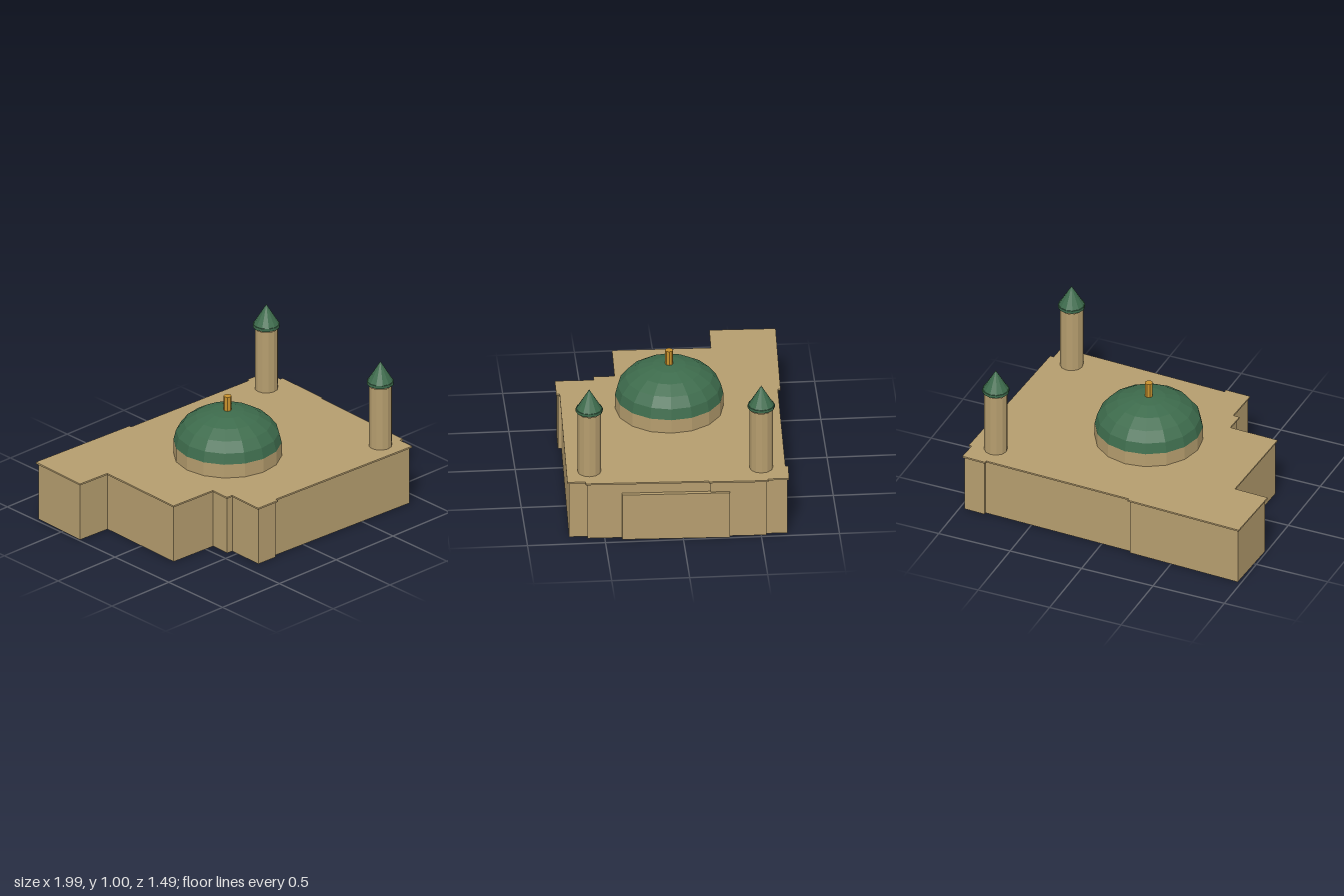
import * as THREE from 'three';

const YAW = -0.038;
const material = (color) =>
  new THREE.MeshStandardMaterial({ color, flatShading: true, side: THREE.DoubleSide });

// Move a closed [x, z] outline inward by distance t.
function inset(loop, t) {
  const normal = (a, b) => new THREE.Vector2(a[1] - b[1], b[0] - a[0]).normalize();
  return loop.map((p, i) => {
    const n1 = normal(loop.at(i - 1), p);
    const n2 = normal(p, loop[(i + 1) % loop.length]);
    const k = t / (1 + n1.dot(n2));
    return [p[0] + (n1.x + n2.x) * k, p[1] + (n1.y + n2.y) * k];
  });
}

// Vertical walls around a closed outline, open above and below.
function wallGeometry(loop, y0, y1) {
  const v = [];
  loop.forEach(([ax, az], i) => {
    const [bx, bz] = loop[(i + 1) % loop.length];
    v.push(ax, y0, az, ax, y1, az, bx, y1, bz);
    v.push(ax, y0, az, bx, y1, bz, bx, y0, bz);
  });
  const g = new THREE.BufferGeometry();
  g.setAttribute('position', new THREE.Float32BufferAttribute(v, 3));
  g.computeVertexNormals();
  return g;
}

// Horizontal slab over an outline.
function slabGeometry(loop, y, depth) {
  const shape = new THREE.Shape(loop.map(([x, z]) => new THREE.Vector2(x, -z)));
  return new THREE.ExtrudeGeometry(shape, { depth, bevelEnabled: false })
    .rotateX(-Math.PI / 2).translate(0, y, 0);
}

export function createModel() {
  const model = new THREE.Group();
  const stone = material(0xb59d6e), green = material(0x3d6b4c), gold = material(0xc8922e);
  const add = (name, geometry, mat, parent = model, x = 0, y = 0, z = 0) => {
    const mesh = new THREE.Mesh(geometry, mat);
    mesh.name = name;
    mesh.position.set(x, y, z);
    parent.add(mesh);
    return mesh;
  };

  // Hall: hollow walls below a thin overhanging roof
  const outline = [
    [-0.987, -0.749], [-0.195, -0.717], [-0.196, -0.7], [0.815, -0.668], [0.816, -0.686],
    [0.978, -0.679], [0.972, -0.545], [0.993, -0.544], [0.981, -0.165], [0.972, -0.165],
    [0.945, 0.622], [0.92, 0.621], [0.917, 0.738], [-0.242, 0.695], [-0.243, 0.717],
    [-0.414, 0.712], [-0.407, 0.463], [-0.451, 0.461], [-0.447, 0.327], [-0.784, 0.316],
    [-0.768, -0.316], [-1.0, -0.325],
  ];
  add('walls', wallGeometry(inset(outline, 0.011), 0, 0.396), stone);
  add('roof', slabGeometry(outline, 0.394, 0.011), stone);

  // Low porch on the left side
  const porch = [[0.87, -0.304], [0.993, -0.3], [0.968, 0.39], [0.845, 0.386]];
  add('porchWalls', wallGeometry(porch, 0, 0.322), stone);
  add('porchRoof', slabGeometry(porch, 0.322, 0.003), stone);

  // Dome on its drum
  const dome = new THREE.Group();
  dome.name = 'domeGroup';
  dome.position.set(-0.019, 0, 0.011);
  dome.rotation.y = YAW;
  model.add(dome);
  add('drum', new THREE.CylinderGeometry(0.347, 0.347, 0.1, 16, 1, true), stone, dome, 0, 0.45);
  add('dome', new THREE.SphereGeometry(0.347, 16, 5, 0, Math.PI * 2, 0, Math.PI / 2)
    .scale(1, 0.225 / 0.347, 1), green, dome, 0, 0.5);
  add('finial', new THREE.CylinderGeometry(0.026, 0.026, 0.1, 8), gold, dome, 0, 0.771);

  // Minarets: open shaft, then collar and cone just above it
  for (const [x, z] of [[0.818, -0.513], [0.78, 0.587]]) {
    const minaret = new THREE.Group();
    minaret.name = 'minaret';
    minaret.position.set(x, 0, z);
    minaret.rotation.y = YAW;
    model.add(minaret);
    add('shaft', new THREE.CylinderGeometry(0.075, 0.075, 0.836, 12, 1, true), stone, minaret, 0, 0.418);
    add('collar', new THREE.CylinderGeometry(0.087, 0.087, 0.02, 12), green, minaret, 0, 0.856);
    add('spire', new THREE.ConeGeometry(0.083, 0.138, 12), green, minaret, 0, 0.934);
  }
  return model;
}
